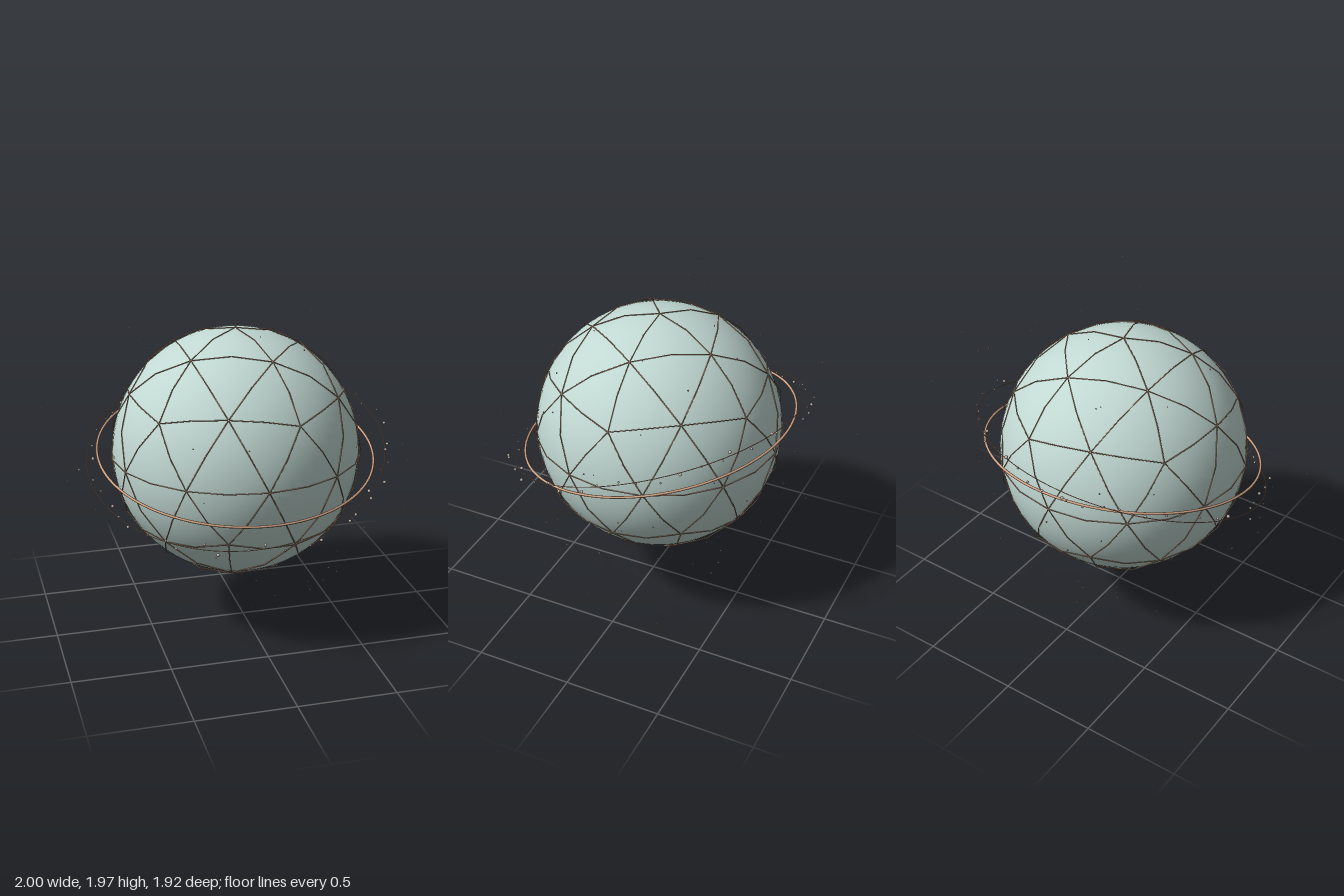
import * as THREE from 'three';
import { mergeGeometries } from 'three/addons/utils/BufferGeometryUtils.js';

const CENTRE = [-0.035, 0.942, -0.018];
const material = (name, color) => {
  const m = new THREE.MeshStandardMaterial({ color });
  m.name = name;
  return m;
};

// Small seeded random source
function seeded(seed) {
  return () => {
    seed = (seed * 16807) % 2147483647;
    return seed / 2147483647;
  };
}

// Vertices of a frequency-two geodesic dome with its five-fold axis upright
function geodesicPoints() {
  const corners = [new THREE.Vector3(0, 1, 0), new THREE.Vector3(0, -1, 0)];
  const y = 1 / Math.sqrt(5), r = 2 / Math.sqrt(5);
  for (let i = 0; i < 5; i++) {
    const a = (i * Math.PI * 2) / 5, b = a + Math.PI / 5;
    corners.push(new THREE.Vector3(r * Math.cos(a), y, r * Math.sin(a)));
    corners.push(new THREE.Vector3(r * Math.cos(b), -y, r * Math.sin(b)));
  }
  const points = [...corners];
  corners.forEach((p, i) => corners.slice(i + 1).forEach((q) => {
    if (p.dot(q) > 0.4) points.push(p.clone().add(q).normalize());
  }));
  return points;
}

// Fine struts between neighbouring vertices, each bent once at its middle
function latticeGeometry() {
  const points = geodesicPoints(), struts = [], radius = 0.643;
  points.forEach((p, i) => points.slice(i + 1).forEach((q) => {
    if (p.dot(q) < 0.77) return;
    const middle = p.clone().add(q).setLength(radius);
    for (const end of [p, q]) {
      const line = new THREE.LineCurve3(end.clone().multiplyScalar(radius), middle);
      struts.push(new THREE.TubeGeometry(line, 1, 0.0026, 6));
    }
  }));
  return mergeGeometries(struts);
}

// Merge many little solids placed at [x, y, z, radius]
function speckGeometry(places, detail) {
  return mergeGeometries(places.map(([x, y, z, r]) =>
    new THREE.IcosahedronGeometry(r, detail).translate(x, y, z)));
}

export function createModel() {
  const model = new THREE.Group();
  model.name = 'ringedGlobe';
  const glass = material('pale sage', 0xc1d8d2);
  const copper = material('light copper', 0xd0a283);
  const pale = material('pale stone', 0xc8baab);

  const body = new THREE.Group();
  body.name = 'globeAndRings';
  body.position.set(...CENTRE);
  model.add(body);
  const add = (parent, name, geometry, mat) => {
    const mesh = new THREE.Mesh(geometry, mat);
    mesh.name = name;
    parent.add(mesh);
    return mesh;
  };

  // Globe and its lattice
  add(body, 'globe', new THREE.SphereGeometry(0.632, 64, 48), glass);
  add(body, 'geodesicLattice', latticeGeometry(), copper);

  // Inner ring, dipping towards the front
  const inner = add(body, 'innerRing', new THREE.TorusGeometry(0.711, 0.0065, 8, 128), copper);
  inner.rotation.x = Math.PI / 2 + 0.206;

  // Outer thin ring with beads drifting around it
  const orbit = new THREE.Group();
  orbit.name = 'outerOrbit';
  orbit.rotation.set(0.32, 0, 0.11);
  body.add(orbit);
  add(orbit, 'outerRing', new THREE.TorusGeometry(0.767, 0.002, 6, 128).rotateX(Math.PI / 2), copper);
  const random = seeded(4127);
  const beads = [];
  for (let i = 0; i < 48; i++) {
    const a = (i / 48) * Math.PI * 2 + random() * 0.1;
    const r = 0.767 + (random() - 0.45) * 0.09;
    beads.push([r * Math.cos(a), (random() - 0.5) * 0.05, r * Math.sin(a), 0.005 + random() * 0.004]);
  }
  add(orbit, 'orbitBeads', speckGeometry(beads, 1), pale);

  // Dust: outermost specks first, then a scattered shell
  const specks = [
    [0.995, 1.1, -0.3], [-0.995, 1.16, -0.28], [0.03, 1.97, 0.07], [0.46, 1.75, -0.63],
    [-0.32, 0.005, -0.115], [0.44, 0.025, -0.23], [-0.43, 0.9, -0.96], [0.13, 0.62, 0.95],
  ].map((p) => [...p, 0.004]);
  for (let i = 0; i < 85; i++) {
    const up = random() * 2 - 1, a = random() * Math.PI * 2;
    const r = 0.72 + random() * 0.24, flat = Math.sqrt(1 - up * up) * r;
    specks.push([CENTRE[0] + flat * Math.cos(a), CENTRE[1] + up * r, CENTRE[2] + flat * Math.sin(a),
      0.003 + random() * 0.002]);
  }
  add(model, 'dustSpecks', speckGeometry(specks, 0), pale);
  return model;
}
